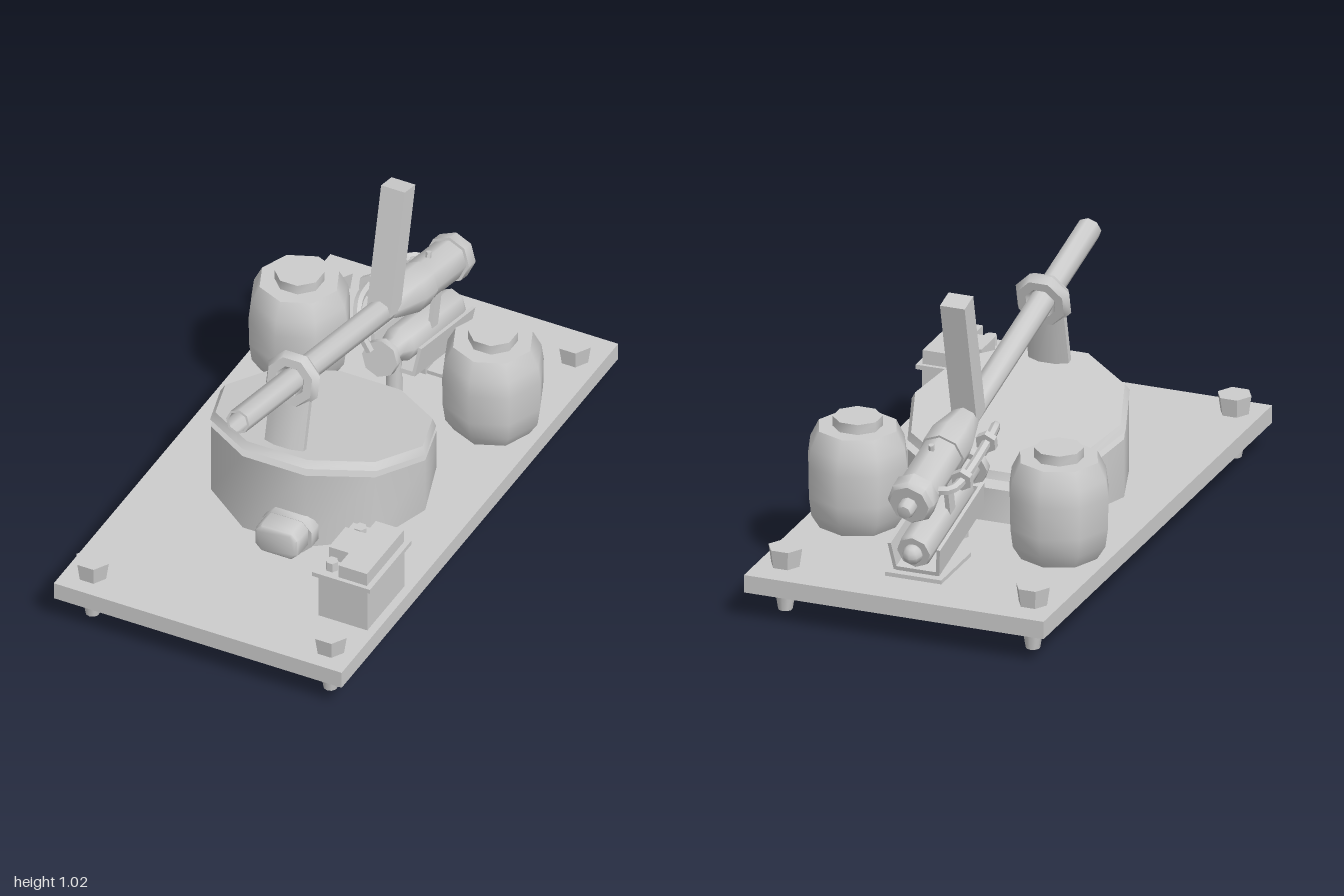
import * as THREE from 'three';
import { toCreasedNormals } from 'three/addons/utils/BufferGeometryUtils.js';

const material = new THREE.MeshStandardMaterial({ color: 0xcccccc });
const V = (x, y) => new THREE.Vector2(x, y);

function add(parent, name, geometry, x = 0, y = 0, z = 0) {
  const mesh = new THREE.Mesh(toCreasedNormals(geometry, 0.9), material);
  mesh.name = name;
  mesh.position.set(x, y, z);
  parent.add(mesh);
  return mesh;
}

const box = (w, h, d) => new THREE.BoxGeometry(w, h, d);
const cyl = (rTop, rBottom, h, n) => new THREE.CylinderGeometry(rTop, rBottom, h, n);

// Turned part lying along z; profile entries are [radius, z] from back to front
function turnedZ(profile, n = 8) {
  return new THREE.LatheGeometry(profile.map(([r, z]) => V(r, z)), n).rotateX(Math.PI / 2);
}

// Rectangle with cut corners, extruded along z
function cutPanel(w, h, c, d) {
  const a = w / 2, b = h / 2;
  const shape = new THREE.Shape([
    V(-a + c, -b), V(a - c, -b), V(a, -b + c), V(a, b - c),
    V(a - c, b), V(-a + c, b), V(-a, b - c), V(-a, -b + c)]);
  return new THREE.ExtrudeGeometry(shape, { depth: d, bevelEnabled: false });
}

function addBase(g) {
  add(g, 'basePlate', box(1.065, 0.062, 2), 0, 0.126, 0);
  for (const x of [-0.44, 0.44]) for (const z of [-0.865, 0.9]) {
    add(g, 'foot', cyl(0.04, 0.024, 0.096, 10), x, 0.048, z);
    add(g, 'cornerBolt', cyl(0.06, 0.05, 0.066, 6).rotateY(Math.PI / 2), x, 0.189, z);
  }
}

function addDrum(g) {
  // Ten-sided drum with a sloping rim
  const drum = cyl(0.376, 0.376, 0.2, 10).rotateY(Math.PI / 2);
  const p = drum.attributes.position;
  for (let i = 0; i < p.count; i++) {
    p.setY(i, p.getY(i) > 0 ? 0.363 + 0.25 * p.getZ(i) : 0.157);
  }
  add(g, 'drum', drum, 0, 0, 0.09);
  const lid = new THREE.Group();
  lid.name = 'lid';
  lid.position.set(0, 0.403, 0.09);
  lid.rotation.x = -0.245;
  g.add(lid);
  add(lid, 'lidPlate', cyl(0.365, 0.38, 0.026, 10).rotateY(Math.PI / 2));
  add(lid, 'lidCore', cyl(0.25, 0.25, 0.06, 10).rotateY(Math.PI / 2), 0, -0.035, 0);
  // Hatch on the drum front
  add(g, 'hatchFrame', cutPanel(0.184, 0.128, 0.035, 0.05), 0.063, 0.221, 0.43);
  const hatch = new THREE.ExtrudeGeometry(
    new THREE.Shape([V(-0.06, -0.05), V(0.06, -0.05), V(0.08, -0.03), V(0.08, 0.03),
      V(0.06, 0.05), V(-0.06, 0.05), V(-0.08, 0.03), V(-0.08, -0.03)].map(v => v.multiplyScalar(0.86))),
    { depth: 0.07, bevelThickness: 0.02, bevelSize: 0.011, bevelSegments: 2 });
  add(g, 'hatch', hatch, 0.063, 0.23, 0.47);
}

function addTanks(g) {
  const profile = [V(0, 0.157), V(0.135, 0.157), V(0.165, 0.205), V(0.174, 0.27), V(0.176, 0.38),
    V(0.168, 0.44), V(0.138, 0.5), V(0, 0.5)];
  for (const x of [-0.358, 0.358]) {
    add(g, 'tank', new THREE.LatheGeometry(profile, 8), x, 0, -0.435);
    add(g, 'tankCap', cyl(0.083, 0.083, 0.036, 8).rotateY(Math.PI / 8), x, 0.517, -0.435);
  }
}

function addControlBox(g) {
  add(g, 'controlBox', box(0.18, 0.17, 0.27), 0.413, 0.242, 0.622);
  add(g, 'controlBoxFlange', box(0.215, 0.016, 0.3), 0.413, 0.333, 0.622);
  add(g, 'controlBoxTop', box(0.105, 0.05, 0.27), 0.449, 0.365, 0.622);
  add(g, 'controlBoxTab', box(0.075, 0.05, 0.12), 0.36, 0.365, 0.622);
  for (const z of [0.52, 0.725]) {
    add(g, 'controlKnob', cyl(0.022, 0.022, 0.036, 6).rotateY(Math.PI / 2), 0.356, 0.357, z);
  }
}

// Everything along the sloping barrel axis; local origin is the muzzle, +z points out of it
function addBarrelAssembly(g) {
  const a = new THREE.Group();
  a.name = 'barrelAssembly';
  a.position.set(0, 0.815, 0.711);
  a.rotation.x = -0.234;
  g.add(a);

  add(a, 'barrel', turnedZ([[0.043, -1.15], [0.043, 0], [0.035, 0], [0.035, -0.5], [0, -0.5]]));
  add(a, 'uprightPost', box(0.088, 0.46, 0.078), 0, 0.225, -1.085);

  // Ring and leg that carry the barrel
  add(a, 'supportRing', new THREE.TorusGeometry(0.071, 0.032, 6, 8).rotateZ(Math.PI / 8), 0, 0, -0.412);
  add(a, 'supportLeg', cyl(0.072, 0.072, 0.195, 8).rotateY(Math.PI / 8).scale(1.08, 1, 0.4), 0, -0.142, -0.412);

  // Breech
  add(a, 'breech', turnedZ([[0, -1.622], [0.07, -1.622], [0.082, -1.605], [0.082, -1.555], [0.072, -1.555],
    [0.072, -1.33], [0.08, -1.33], [0.08, -1.25], [0.05, -1.12], [0.043, -1.1]]));
  add(a, 'breechNub', turnedZ([[0, -1.672], [0.024, -1.668], [0.03, -1.655], [0.03, -1.6]]));
  add(a, 'breechPin', cyl(0.01, 0.01, 0.03, 6), 0, 0.075, -1.4);

  // Side pipe with two collars
  const path = new THREE.CatmullRomCurve3([[-0.05, 0, -1.52], [-0.1, 0, -1.51], [-0.118, 0, -1.46],
    [-0.118, 0, -1.2], [-0.1, -0.02, -1.1], [-0.07, -0.08, -1.06], [-0.03, -0.16, -1.08]]
    .map(q => new THREE.Vector3(...q)));
  add(a, 'sidePipe', new THREE.TubeGeometry(path, 28, 0.016, 6));
  for (const z of [-1.44, -1.22]) {
    add(a, 'pipeCollar', turnedZ([[0, -0.012], [0.038, -0.012], [0.038, 0.012], [0, 0.012]], 6), -0.118, 0, z);
  }

  // Lower cylinder in its open tray
  add(a, 'lowerCylinder', turnedZ([[0, -1.625], [0.058, -1.625], [0.062, -1.61], [0.062, -1.24],
    [0.04, -1.2], [0.04, -1.13], [0.065, -1.13], [0.065, -1.1], [0, -1.1]]), 0, -0.19, 0);
  add(a, 'lowerNub', new THREE.SphereGeometry(0.035, 8, 6), 0, -0.19, -1.635);
  add(a, 'trayFloor', box(0.15, 0.015, 0.4), 0, -0.268, -1.42);
  for (const s of [-1, 1]) {
    const side = add(a, 'traySide', box(0.012, 0.105, 0.4), s * 0.081, -0.222, -1.42);
    side.rotation.z = -s * 0.12;
    add(a, 'strut', box(0.016, 0.16, 0.045), s * 0.045, -0.1, -1.4);
  }
}

export function createModel() {
  const g = new THREE.Group();
  g.name = 'model';
  addBase(g);
  addDrum(g);
  addTanks(g);
  addControlBox(g);
  addBarrelAssembly(g);
  // Ground mount below the tray
  add(g, 'mountPlate', box(0.2, 0.014, 0.26), 0, 0.164, -0.7);
  add(g, 'mountBlock', box(0.09, 0.08, 0.12), 0, 0.2, -0.62);
  add(g, 'mountLeg', cyl(0.025, 0.03, 0.2, 8), 0, 0.255, -0.42);
  return g;
}
